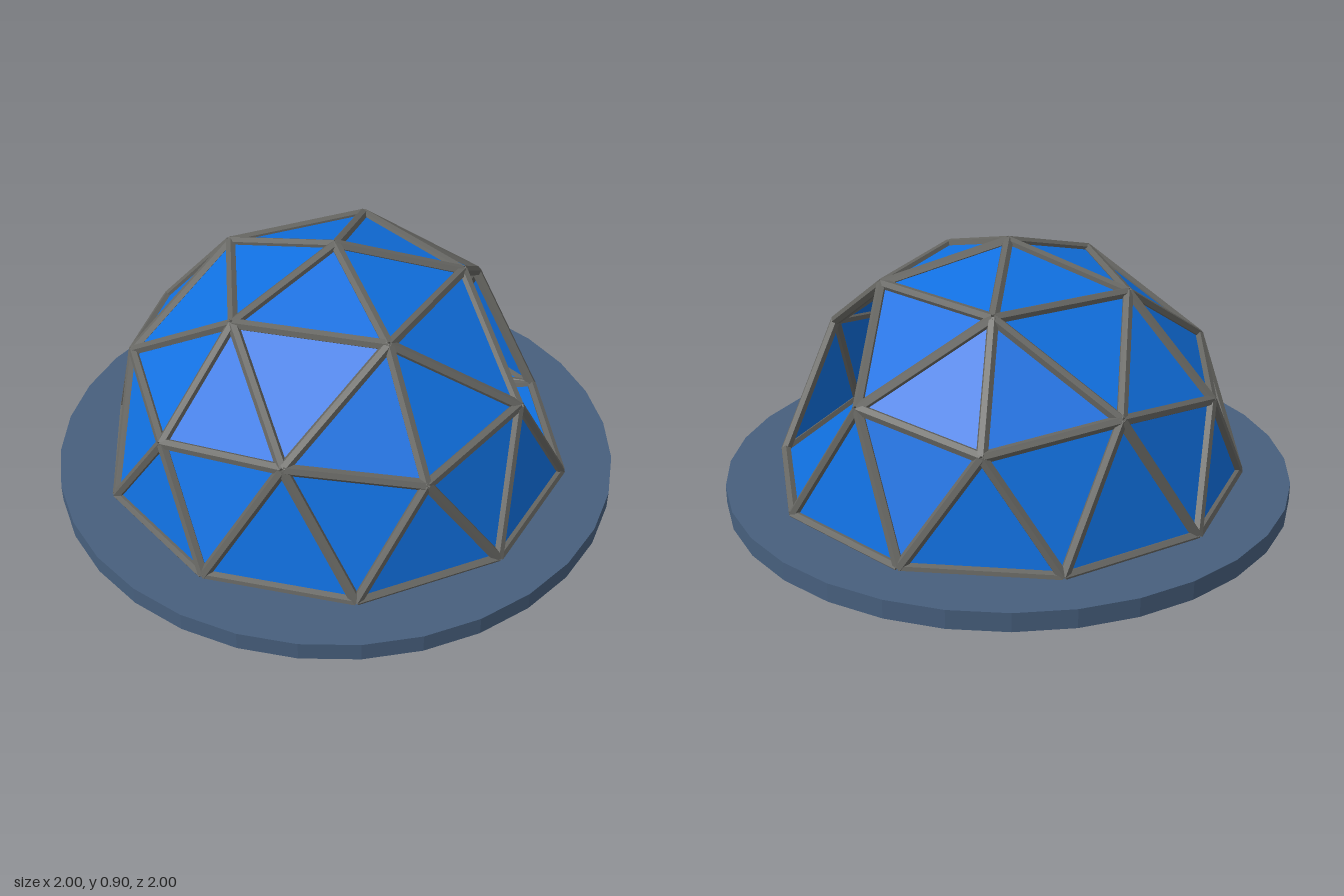
import * as THREE from 'three';

const R = 0.82;        // dome radius
const FLOOR = 0.066;   // top of the base plate
const STRUT = 0.019;   // strut radius

const blue = new THREE.MeshStandardMaterial({ color: 0x1070e0, flatShading: true, side: THREE.DoubleSide });
const grey = new THREE.MeshStandardMaterial({ color: 0x666662, flatShading: true });
const slate = new THREE.MeshStandardMaterial({ color: 0x475f7d, flatShading: true });

// Point on the dome: latitude and turn in degrees
function domePoint(lat, turn) {
  const a = THREE.MathUtils.degToRad(lat), t = THREE.MathUtils.degToRad(turn);
  return new THREE.Vector3(
    R * Math.cos(a) * Math.cos(t), FLOOR + R * Math.sin(a), -R * Math.cos(a) * Math.sin(t));
}

function panelMesh(name, triangles) {
  const geo = new THREE.BufferGeometry().setFromPoints(triangles.flat());
  geo.computeVertexNormals();
  const mesh = new THREE.Mesh(geo, blue);
  mesh.name = name;
  return mesh;
}

function strutMesh(a, b) {
  const dir = b.clone().sub(a);
  const mesh = new THREE.Mesh(new THREE.CylinderGeometry(STRUT, STRUT, dir.length(), 6), grey);
  mesh.position.copy(a).lerp(b, 0.5);
  mesh.quaternion.setFromUnitVectors(new THREE.Vector3(0, 1, 0), dir.normalize());
  mesh.name = 'strut';
  return mesh;
}

export function createModel() {
  const model = new THREE.Group();
  model.name = 'geodesicDome';

  // Base plate
  const plate = new THREE.Mesh(new THREE.CylinderGeometry(1, 1, 0.065, 32), slate);
  plate.position.y = 0.0325;
  plate.name = 'basePlate';
  model.add(plate);

  // Rings of joints, from the top down
  const apex = domePoint(90, 0);
  const upper = [], middle = [], base = [];
  for (let k = 0; k < 5; k++) upper.push(domePoint(58.28, 72 * k));
  for (let j = 0; j < 10; j++) {
    middle.push(domePoint(j % 2 ? 31.72 : 26.57, 36 * j));
    base.push(domePoint(0, 36 * j + 18));
  }

  // Shell triangles
  const shell = [];
  for (let k = 0; k < 5; k++) {
    const a = upper[k], b = upper[(k + 1) % 5], j = 2 * k;
    shell.push([apex, a, b], [a, middle[j + 1], b],
      [a, middle[(j + 9) % 10], middle[j]], [a, middle[j], middle[j + 1]]);
  }
  for (let j = 0; j < 10; j++) {
    shell.push([middle[j], base[j], middle[(j + 1) % 10]],
      [base[(j + 9) % 10], base[j], middle[j]]);
  }
  // The five panels round one joint are left out as the entrance
  const closed = shell.filter((t) => !t.includes(middle[0]));
  model.add(panelMesh('domePanels', closed));

  // Triangulated floor
  const floor = [[1, 2, 3], [0, 1, 3], [0, 3, 4], [0, 4, 8], [0, 8, 9], [4, 7, 8], [4, 6, 7], [4, 5, 6]];
  const floorMesh = panelMesh('floor', floor.map((t) => t.map((i) => base[i])));
  floorMesh.position.y = 0.003;
  model.add(floorMesh);

  // One strut along every panel edge, plus the sill and floor struts
  const struts = new THREE.Group();
  struts.name = 'struts';
  const joints = [apex, ...upper, ...middle, ...base];
  const done = new Set();
  const addStrut = (a, b) => {
    const key = [joints.indexOf(a), joints.indexOf(b)].sort((p, q) => p - q).join('-');
    if (done.has(key)) return;
    done.add(key);
    struts.add(strutMesh(a, b));
  };
  for (const t of closed) t.forEach((p, i) => addStrut(p, t[(i + 1) % 3]));
  for (const [i, j] of [[9, 0], [1, 3], [0, 3], [0, 4]]) addStrut(base[i], base[j]);
  model.add(struts);

  return model;
}
